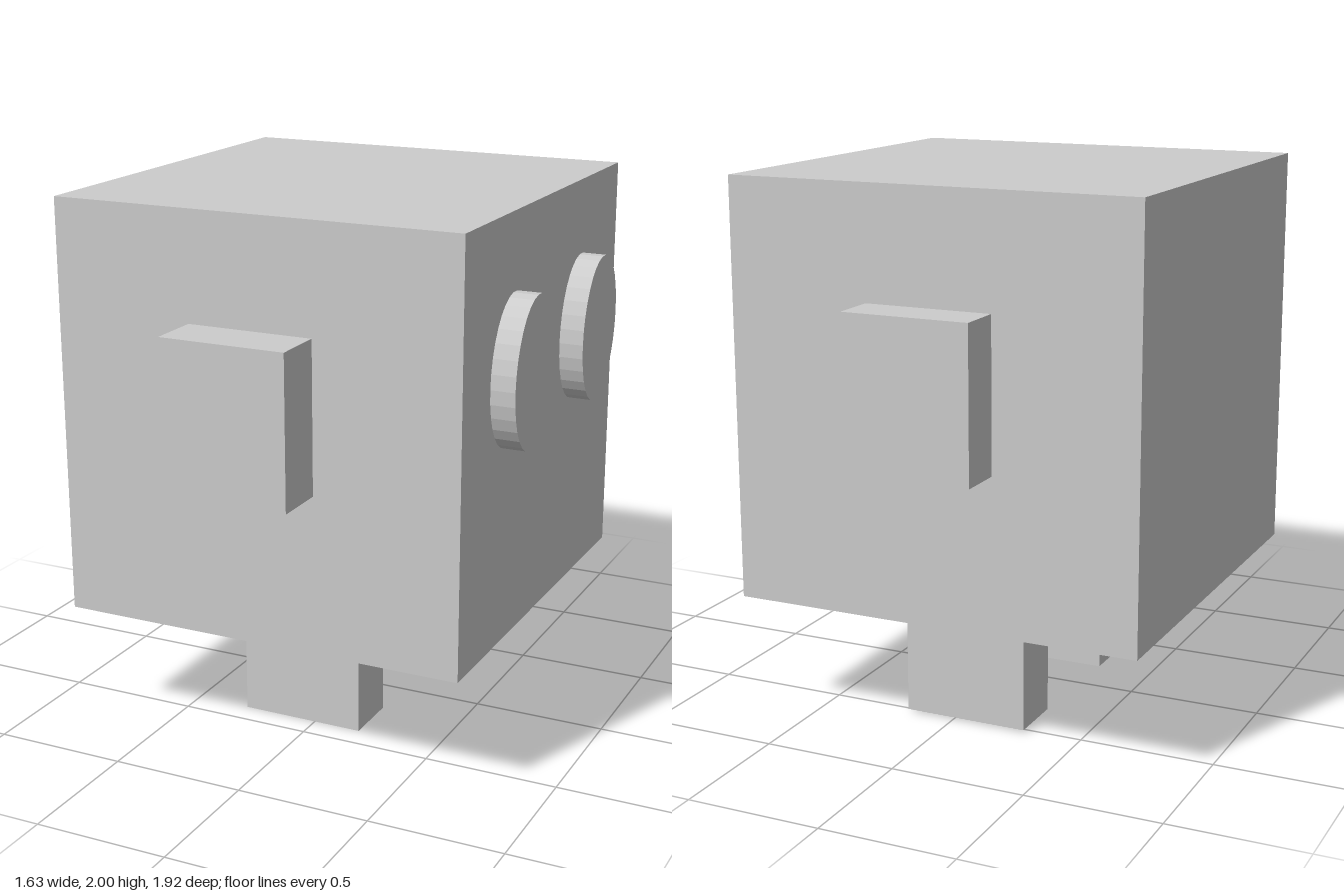
import * as THREE from 'three';

const material = new THREE.MeshStandardMaterial({ color: 0xcccccc, flatShading: true });

export function createModel() {
  const model = new THREE.Group();

  // Box given by its extents along each axis
  const addBox = (name, [x0, x1], [y0, y1], [z0, z1]) => {
    const mesh = new THREE.Mesh(new THREE.BoxGeometry(x1 - x0, y1 - y0, z1 - z0), material);
    mesh.position.set((x0 + x1) / 2, (y0 + y1) / 2, (z0 + z1) / 2);
    mesh.name = name;
    model.add(mesh);
  };

  // Cubic body
  addBox('body', [-0.82, 0.725], [0.457, 2], [-0.787, 0.761]);

  // Arms on the front and back sides
  addBox('frontArm', [-0.292, 0.181], [1.044, 1.6], [0.761, 0.96]);
  addBox('backArm', [-0.285, 0.188], [1.031, 1.588], [-0.96, -0.787]);

  // Legs
  addBox('frontLeg', [-0.29, 0.184], [0, 0.457], [0.19, 0.406]);
  addBox('backLeg', [-0.285, 0.187], [0.008, 0.457], [-0.525, -0.308]);

  // Oval eyes: a disc facing +x, stretched upright and slightly tilted
  const eyeGeometry = new THREE.CylinderGeometry(1, 1, 0.09, 32).rotateZ(-Math.PI / 2);
  for (const [name, z] of [['frontEye', 0.329], ['backEye', -0.358]]) {
    const eye = new THREE.Mesh(eyeGeometry, material);
    eye.scale.set(1, 0.273, 0.186);
    eye.rotation.x = -0.16;
    eye.position.set(0.77, 1.45, z);
    eye.name = name;
    model.add(eye);
  }

  return model;
}
